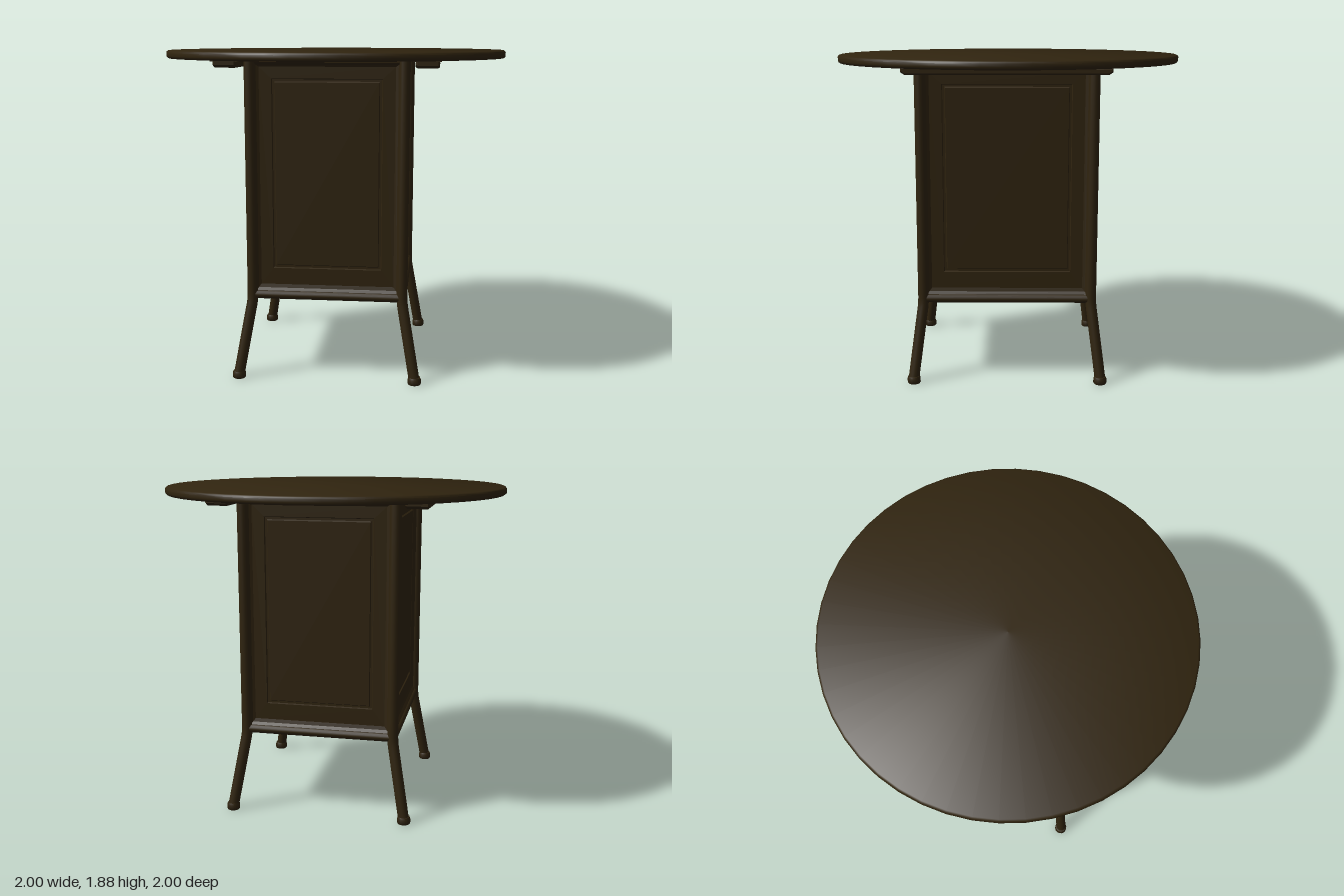
import * as THREE from 'three';
import { toCreasedNormals } from 'three/addons/utils/BufferGeometryUtils.js';

const wood = new THREE.MeshStandardMaterial({ color: 0x30240f });
wood.name = 'dark wood';

const HX = 0.43, HZ = 0.485; // post centres

function add(parent, name, geometry, x = 0, y = 0, z = 0) {
  const mesh = new THREE.Mesh(geometry, wood);
  mesh.name = name;
  mesh.position.set(x, y, z);
  parent.add(mesh);
  return mesh;
}

// Nested rectangles [inset, bottom, top, depth] joined into a moulded panel facing +z
function panelGeometry(halfWidth) {
  const steps = [
    [0, 0.5, 1.815, 0], [0.012, 0.515, 1.81, -0.004], [0.025, 0.53, 1.8, -0.016],
    [0.04, 0.55, 1.79, -0.022], [0.11, 0.645, 1.725, -0.022], [0.114, 0.649, 1.721, -0.031],
    [0.126, 0.661, 1.709, -0.031], [0.13, 0.666, 1.703, -0.022],
  ];
  const rings = steps.map(([inset, b, t, d]) => {
    const w = halfWidth - inset;
    return [[-w, b, d], [w, b, d], [w, t, d], [-w, t, d]];
  });
  const pos = [];
  const quad = (a, b, c, d) => pos.push(...a, ...b, ...c, ...a, ...c, ...d);
  for (let r = 0; r < rings.length - 1; r++) {
    for (let i = 0; i < 4; i++) {
      const j = (i + 1) % 4;
      quad(rings[r][i], rings[r][j], rings[r + 1][j], rings[r + 1][i]);
    }
  }
  quad(...rings[rings.length - 1]);
  const g = new THREE.BufferGeometry();
  g.setAttribute('position', new THREE.Float32BufferAttribute(pos, 3));
  g.computeVertexNormals();
  return g;
}

// Post that runs straight down the body, then bends out into a splayed leg
function legGeometry(sx, sz) {
  const v = (x, y, z) => new THREE.Vector3(sx * x, y, sz * z);
  const path = new THREE.CurvePath();
  path.add(new THREE.LineCurve3(v(HX, 1.83, HZ), v(HX, 0.5, HZ)));
  path.add(new THREE.QuadraticBezierCurve3(v(HX, 0.5, HZ), v(HX, 0.46, HZ), v(0.438, 0.42, 0.491)));
  path.add(new THREE.LineCurve3(v(0.438, 0.42, 0.491), v(0.508, 0.02, 0.543)));
  return new THREE.TubeGeometry(path, 60, 0.031, 14, false);
}

export function createModel() {
  const table = new THREE.Group();
  table.name = 'cabinetTable';

  // Round top with softened edge
  const rim = [[0, 1.83], [0.988, 1.83], [0.997, 1.836], [1, 1.845], [1, 1.862], [0.997, 1.869], [0.988, 1.875], [0, 1.875]];
  add(table, 'tableTop', toCreasedNormals(
    new THREE.LatheGeometry(rim.map(([x, y]) => new THREE.Vector2(x, y)), 48), 0.7));

  // Cabinet body
  const body = new THREE.Group();
  body.name = 'cabinet';
  table.add(body);
  add(body, 'core', new THREE.BoxGeometry(0.8, 1.335, 0.91), 0, 1.145, 0);
  add(body, 'floor', new THREE.BoxGeometry(2 * HX, 0.025, 2 * HZ), 0, 0.483, 0);
  for (let i = 0; i < 4; i++) {
    const side = i % 2 === 1;
    const half = side ? HZ : HX;
    const out = side ? HX : HZ;
    const face = new THREE.Group();
    face.name = ['frontSide', 'leftSide', 'backSide', 'rightSide'][i];
    face.rotation.y = i * Math.PI / 2;
    body.add(face);
    add(face, 'panel', panelGeometry(half - 0.01), 0, 0, out + 0.012);
    const rail = new THREE.CylinderGeometry(0.025, 0.025, 2 * half, 14);
    add(face, 'bottomRail', rail.rotateZ(Math.PI / 2), 0, 0.49, out);
  }

  // Legs and feet
  const footProfile = [[0, 0], [0.034, 0], [0.038, 0.006], [0.038, 0.03], [0.033, 0.042], [0, 0.046]];
  const foot = toCreasedNormals(
    new THREE.LatheGeometry(footProfile.map(([x, y]) => new THREE.Vector2(x, y)), 16), 0.7);
  for (const sx of [-1, 1]) {
    for (const sz of [-1, 1]) {
      add(table, 'leg', legGeometry(sx, sz));
      add(table, 'foot', foot, sx * 0.508, 0, sz * 0.541);
    }
  }

  // Cleats under the top, with chamfered ends
  const cleat = new THREE.Shape();
  [[-0.545, 1.785], [0.545, 1.785], [0.568, 1.8], [0.568, 1.824], [-0.568, 1.824], [-0.568, 1.8]]
    .forEach(([z, y], i) => (i ? cleat.lineTo(z, y) : cleat.moveTo(z, y)));
  const cleatGeometry = new THREE.ExtrudeGeometry(cleat, {
    depth: 0.11, bevelThickness: 0.01, bevelSize: 0.008, bevelOffset: -0.008, bevelSegments: 1,
  });
  cleatGeometry.translate(0, 0, -0.055).rotateY(Math.PI / 2);
  for (const sx of [-1, 1]) {
    add(table, 'cleat', cleatGeometry, sx * 0.553, 0, 0);
    add(table, 'cleatPlate', new THREE.BoxGeometry(0.15, 0.012, 1.17), sx * 0.553, 1.826, 0);
  }
  return table;
}
